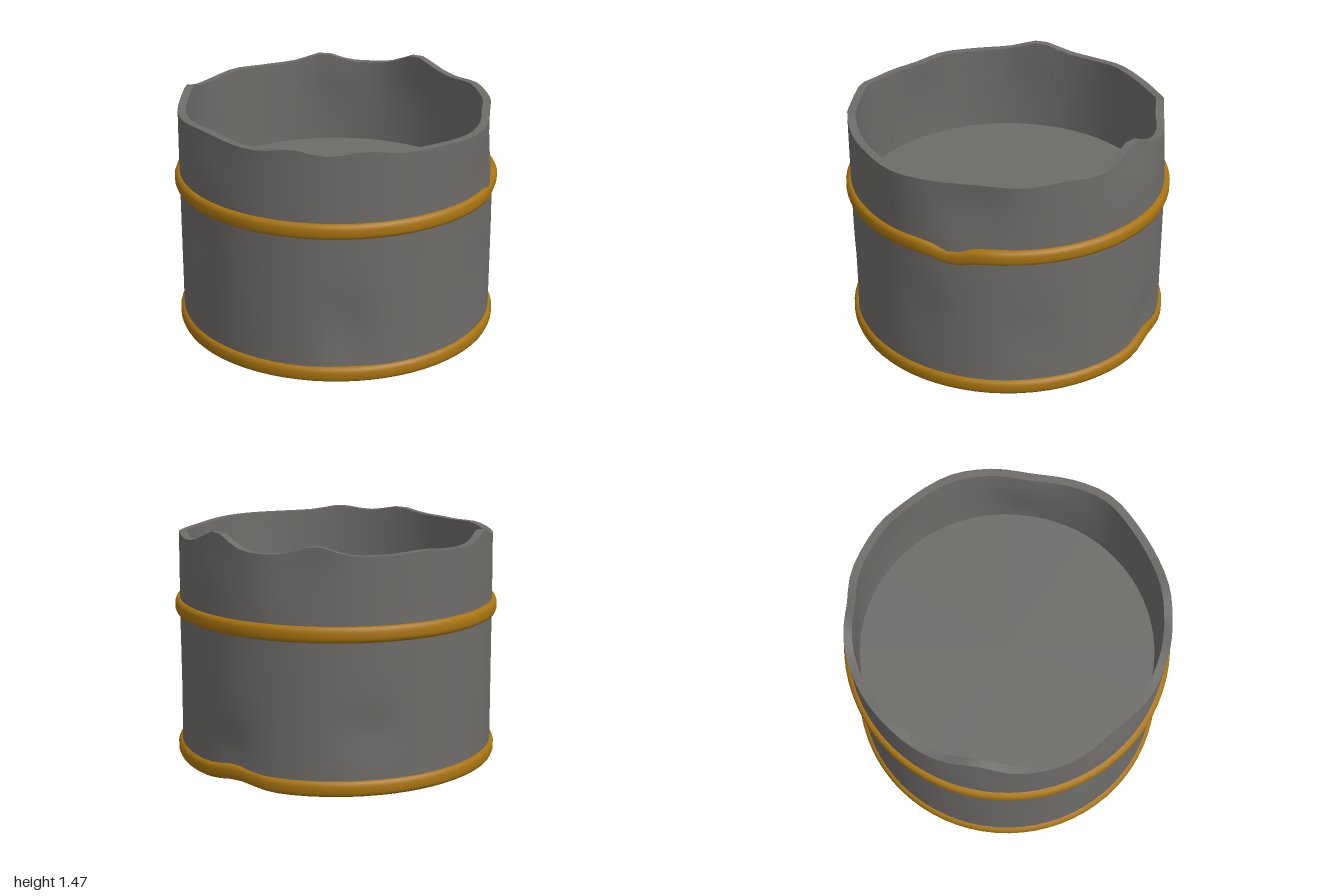
import * as THREE from 'three';

const SEG = 72;
const steel = new THREE.MeshStandardMaterial({ color: 0x6e6c69 });
const gold = new THREE.MeshStandardMaterial({ color: 0xa87410 });
const brown = new THREE.MeshStandardMaterial({ color: 0x5a3d10 });

// Angles are in degrees: 0 = front (+z), 90 = +x.
const bump = (a, centre, width) => {
  const d = ((a - centre + 540) % 360) - 180;
  return Math.exp(-((d / width) ** 2));
};

// Dents: angle, height, angular width, vertical reach, depth
const DENTS = [
  [-22, 0.72, 7, 0.14, 0.02],
  [42, 0.32, 7, 0.22, 0.035],
  [100, 0.5, 8, 0.18, 0.012],
  [120, 1.25, 12, 0.25, 0.042],
  [140, 0.4, 7, 0.2, 0.02],
  [190, 0.22, 9, 0.16, 0.022],
  [242, 0.38, 8, 0.14, 0.025],
  [217, 1.38, 10, 0.25, 0.03],
  [350, 1.42, 12, 0.2, 0.035],
  [180, 1.5, 14, 0.22, 0.035],
  [300, 1.42, 10, 0.2, 0.018],
  [90, 1.45, 12, 0.35, -0.03],
];
const dent = (a, y) => DENTS.reduce(
  (s, [c, h, w, v, d]) => s + d * bump(a, c, w) * Math.exp(-(((y - h) / v) ** 2)), 0);

// Torn rim: crests as angle, width, height above 1.385
const CRESTS = [[182, 10, 0.09], [298, 9, 0.06], [223, 8, 0.055],
  [23, 8, 0.035], [48, 8, 0.03], [150, 8, 0.02], [262, 9, 0.015], [340, 9, 0.012]];
const rimY = a => 1.385 + CRESTS.reduce((s, [c, w, h]) => s + h * bump(a, c, w), 0);

// Sweeps rows of (radius, height) around the y axis; at(row, angle) -> [r, y]
function sweep(name, rows, at, material) {
  const pos = [], index = [];
  for (let i = 0; i < rows; i++) {
    for (let j = 0; j < SEG; j++) {
      const deg = (j * 360) / SEG, t = THREE.MathUtils.degToRad(deg);
      const [r, y] = at(i, deg);
      pos.push(r * Math.sin(t), y, r * Math.cos(t));
      if (i === rows - 1) continue;
      const k = (j + 1) % SEG;
      const a = i * SEG + j, b = i * SEG + k, c = b + SEG, d = a + SEG;
      index.push(a, b, c, a, c, d);
    }
  }
  const geo = new THREE.BufferGeometry();
  geo.setAttribute('position', new THREE.Float32BufferAttribute(pos, 3));
  geo.setIndex(index);
  geo.computeVertexNormals();
  const mesh = new THREE.Mesh(geo, material);
  mesh.name = name;
  return mesh;
}

// Rounded hoop, open against the wall, whose centre line can be pushed about
function hoop(name, y0, sag) {
  const profile = [[0.945, -0.045], [0.97, -0.047], [0.987, -0.038], [0.995, -0.018],
    [0.995, 0.018], [0.987, 0.038], [0.97, 0.047], [0.945, 0.045]];
  return sweep(name, profile.length, (i, a) => {
    const [r, y] = profile[i];
    const [dr, dy] = sag(a);
    return [r + dr, y0 + y + dy];
  }, gold);
}

export function createModel() {
  const group = new THREE.Group();
  const FLOOR = 0.84, BASE = 0.095, ROWS = 20, INNER = 8;

  const outerAt = (f, a) => {
    const y = THREE.MathUtils.lerp(0.06, rimY(a), f);
    return [0.972 - 0.01 * f - dent(a, y), y];
  };
  const innerAt = (f, a) => {
    const y = THREE.MathUtils.lerp(rimY(a), FLOOR, f);
    return [0.913 - dent(a, y), y];
  };

  // Shell: outer wall, broken rim, inner wall and raised inner floor
  group.add(sweep('outerWall', ROWS + 1, (i, a) => outerAt(i / ROWS, a), steel));
  group.add(sweep('brokenRim', 2, (i, a) => (i ? innerAt(0, a) : outerAt(1, a)), steel));
  group.add(sweep('innerWall', INNER + 1, (i, a) => innerAt(i / INNER, a), steel));
  group.add(sweep('innerFloor', 2, (i, a) => (i ? [0, FLOOR] : innerAt(1, a)), steel));

  // Hoops, each bent in one place
  const lowerSag = a => [-0.015 * bump(a, 196, 9), 0.03 * bump(a, 193, 9)];
  group.add(hoop('upperHoop', 0.95, a => [-0.025 * bump(a, 112, 7), -0.045 * bump(a, 112, 6)]));
  group.add(hoop('lowerHoop', 0.053, lowerSag));

  // Recessed underside and the lip joining it to the lower hoop
  group.add(sweep('underside', 2, i => [i ? 0.918 : 0, BASE], brown));
  group.add(sweep('bottomLip', 2, (i, a) => {
    const [dr, dy] = lowerSag(a);
    return i ? [0.945 + dr, 0.008 + dy] : [0.918, BASE];
  }, gold));

  return group;
}
